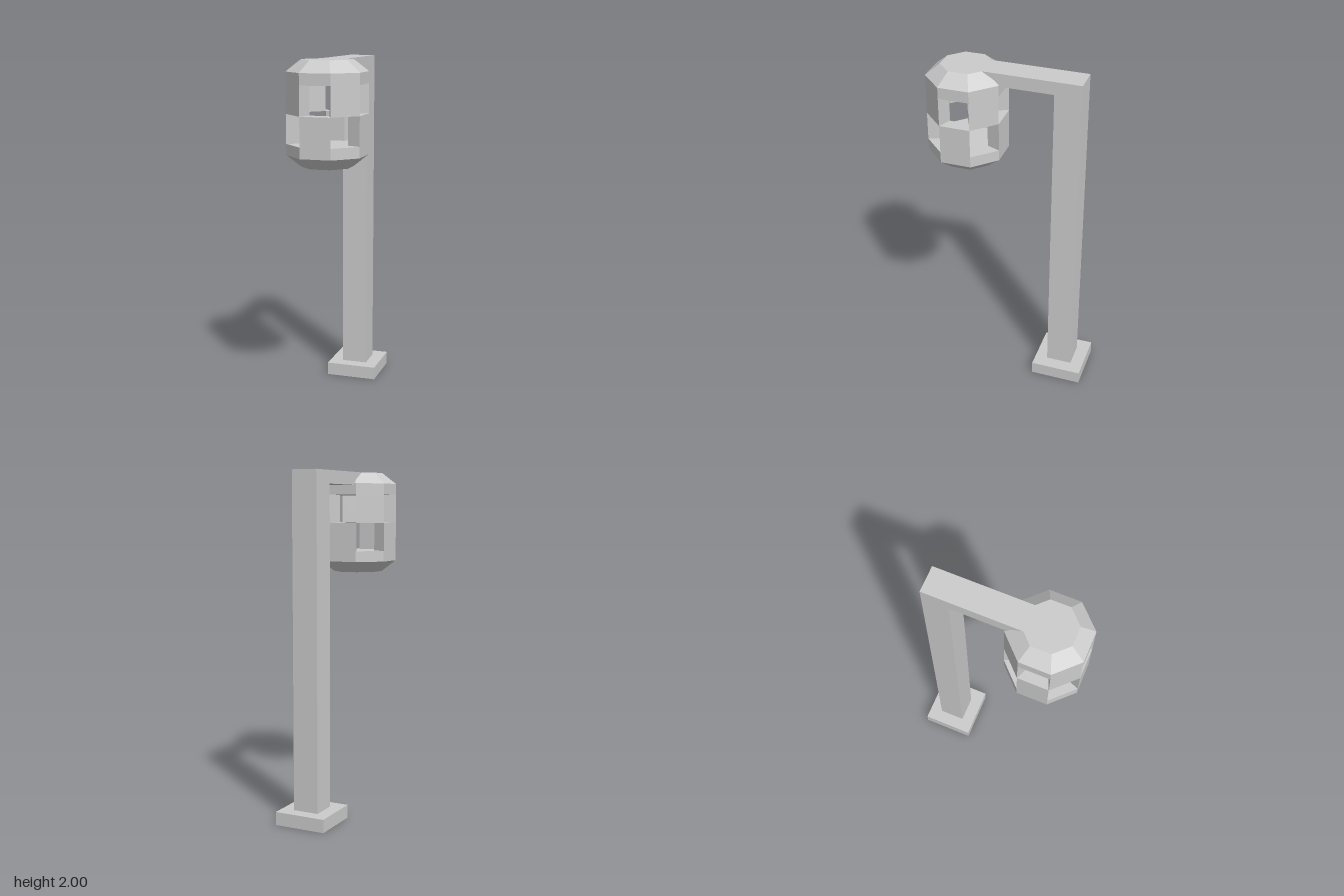
import * as THREE from 'three';

const material = new THREE.MeshStandardMaterial({ color: 0xcccccc, flatShading: true });

const LAMP_Z = 0.267;   // lantern axis
const OUTER = 0.212;    // centre to flat of the outer octagon
const INNER = 0.135;    // centre to flat of the inner octagon
const HALF = Math.PI / 8;

function add(parent, name, geometry) {
  const mesh = new THREE.Mesh(geometry, material);
  mesh.name = name;
  parent.add(mesh);
  return mesh;
}

// Box given by its width and its y and z ranges, centred on x
function block(parent, name, width, y0, y1, z0, z1) {
  const mesh = add(parent, name, new THREE.BoxGeometry(width, y1 - y0, z1 - z0));
  mesh.position.set(0, (y0 + y1) / 2, (z0 + z1) / 2);
}

// Eight-sided solid from [flat radius, y] pairs, bottom to top
function octagon(parent, name, profile) {
  const points = profile.map(([r, y]) => new THREE.Vector2(r / Math.cos(HALF), y));
  return add(parent, name, new THREE.LatheGeometry(points, 8, HALF));
}

// One wall segment spanning an eighth of the ring
function panelGeometry(y0, y1) {
  const t = Math.tan(HALF);
  const shape = new THREE.Shape([
    new THREE.Vector2(-INNER * t, INNER),
    new THREE.Vector2(INNER * t, INNER),
    new THREE.Vector2(OUTER * t, OUTER),
    new THREE.Vector2(-OUTER * t, OUTER),
  ]);
  return new THREE.ExtrudeGeometry(shape, { depth: y1 - y0, bevelEnabled: false })
    .rotateX(-Math.PI / 2)
    .translate(0, y0, 0);
}

export function createModel() {
  const model = new THREE.Group();
  model.name = 'streetLamp';

  // Post with its foot and arm
  block(model, 'foot', 0.306, 0, 0.077, -0.481, -0.177);
  block(model, 'post', 0.153, 0.077, 2, -0.405, -0.252);
  block(model, 'arm', 0.153, 1.925, 2, -0.252, 0.16);

  // Lantern caps
  const lantern = new THREE.Group();
  lantern.name = 'lantern';
  lantern.position.z = LAMP_Z;
  model.add(lantern);
  octagon(lantern, 'lanternBase', [[0, 1.412], [INNER, 1.412], [OUTER, 1.477], [OUTER, 1.54], [0, 1.54]]);
  octagon(lantern, 'lanternRoof', [[0, 1.87], [OUTER, 1.87], [OUTER, 1.935], [INNER, 2], [0, 2]]);

  // Staggered wall panels: low on the straight sides, high on the diagonals
  const low = panelGeometry(1.54, 1.705);
  const high = panelGeometry(1.705, 1.87);
  for (let i = 0; i < 8; i++) {
    const upper = i % 2 === 1;
    const panel = add(lantern, upper ? 'upperPanel' : 'lowerPanel', upper ? high : low);
    panel.rotation.y = i * Math.PI / 4;
  }

  return model;
}
